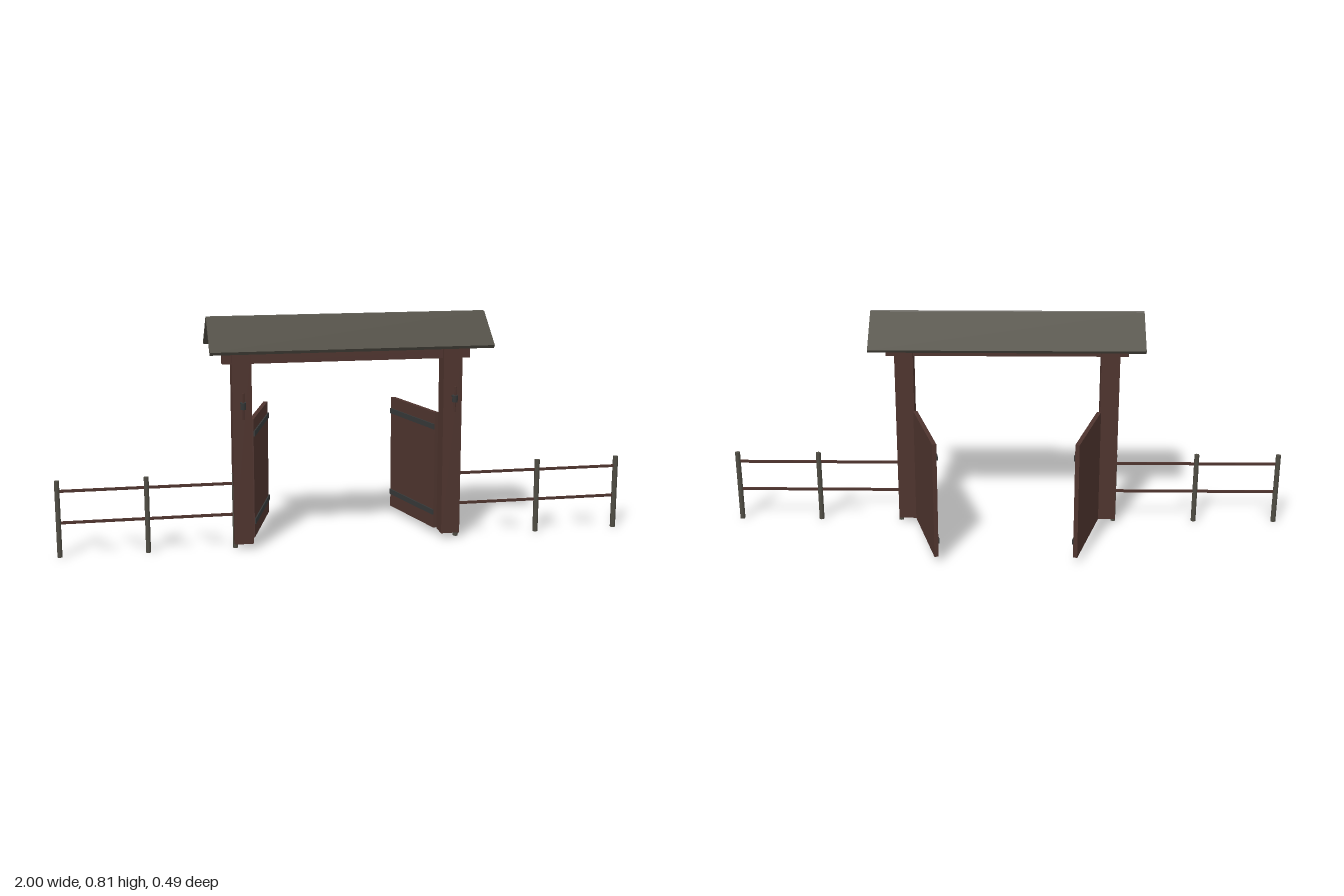
import * as THREE from 'three';

const mat = (name, color) => {
  const m = new THREE.MeshStandardMaterial({ color });
  m.name = name;
  return m;
};

export function createModel() {
  const wood = mat('dark brown wood', 0x4e342e);
  const slate = mat('weathered grey', 0x504d44);
  const iron = mat('dark iron', 0x363838);
  const Z = 0.106; // plane of the gate and fence
  const model = new THREE.Group();
  model.name = 'gateway';

  const add = (parent, name, geo, material, x, y, z) => {
    const mesh = new THREE.Mesh(geo, material);
    mesh.name = name;
    mesh.position.set(x, y, z);
    parent.add(mesh);
    return mesh;
  };
  const box = (parent, name, material, w, h, d, x, y, z) =>
    add(parent, name, new THREE.BoxGeometry(w, h, d), material, x, y, z);
  const rod = (parent, name, material, r, h, sides, x, y, z) =>
    add(parent, name, new THREE.CylinderGeometry(r, r, h, sides), material, x, y, z);

  // Cross beam and two sloping roof panels
  box(model, 'crossBeam', wood, 0.86, 0.034, 0.034, 0, 0.663, Z);
  for (const s of [1, -1]) {
    const panel = box(model, s > 0 ? 'frontRoofPanel' : 'backRoofPanel', slate,
      0.96, 0.013, 0.167, 0, 0.751, Z + s * 0.0695);
    panel.rotation.x = s * 0.65;
  }

  for (const s of [1, -1]) {
    const side = s > 0 ? 'left' : 'right';

    // Main post with its cap
    box(model, side + 'Post', wood, 0.066, 0.696, 0.066, s * 0.366, 0.368, Z);
    box(model, side + 'PostCap', wood, 0.082, 0.015, 0.082, s * 0.366, 0.72, Z);

    // Door, swung open towards the back, with two iron straps
    const door = new THREE.Group();
    door.name = side + 'Door';
    door.position.set(s * 0.329, 0, 0.07);
    door.rotation.y = s * 0.276;
    model.add(door);
    box(door, 'doorPanel', wood, 0.015, 0.422, 0.325, 0, 0.233, -0.1625);
    for (const y of [0.08, 0.393])
      box(door, 'hingeStrap', iron, 0.005, 0.019, 0.322, -s * 0.0095, y, -0.1625);

    // Torch on a bracket
    const torch = new THREE.Group();
    torch.name = side + 'Torch';
    torch.position.set(s * 0.366, 0.512, 0.17);
    model.add(torch);
    box(torch, 'bracketArm', iron, 0.007, 0.006, 0.034, 0, 0.003, -0.017);
    rod(torch, 'holderRing', iron, 0.01, 0.024, 8, 0, 0, 0).rotation.x = 0.11;
    rod(torch, 'torchStick', wood, 0.004, 0.092, 8, 0, -0.002, 0).rotation.x = 0.11;

    // Fence posts and rails
    for (const x of [0.394, 0.693, 0.99])
      rod(model, side + 'FencePost', slate, 0.0095, 0.266, 6, s * x, 0.133, Z);
    for (const y of [0.12, 0.23])
      box(model, side + 'FenceRail', wood, 0.596, 0.009, 0.007, s * 0.692, y, Z);
  }
  return model;
}
